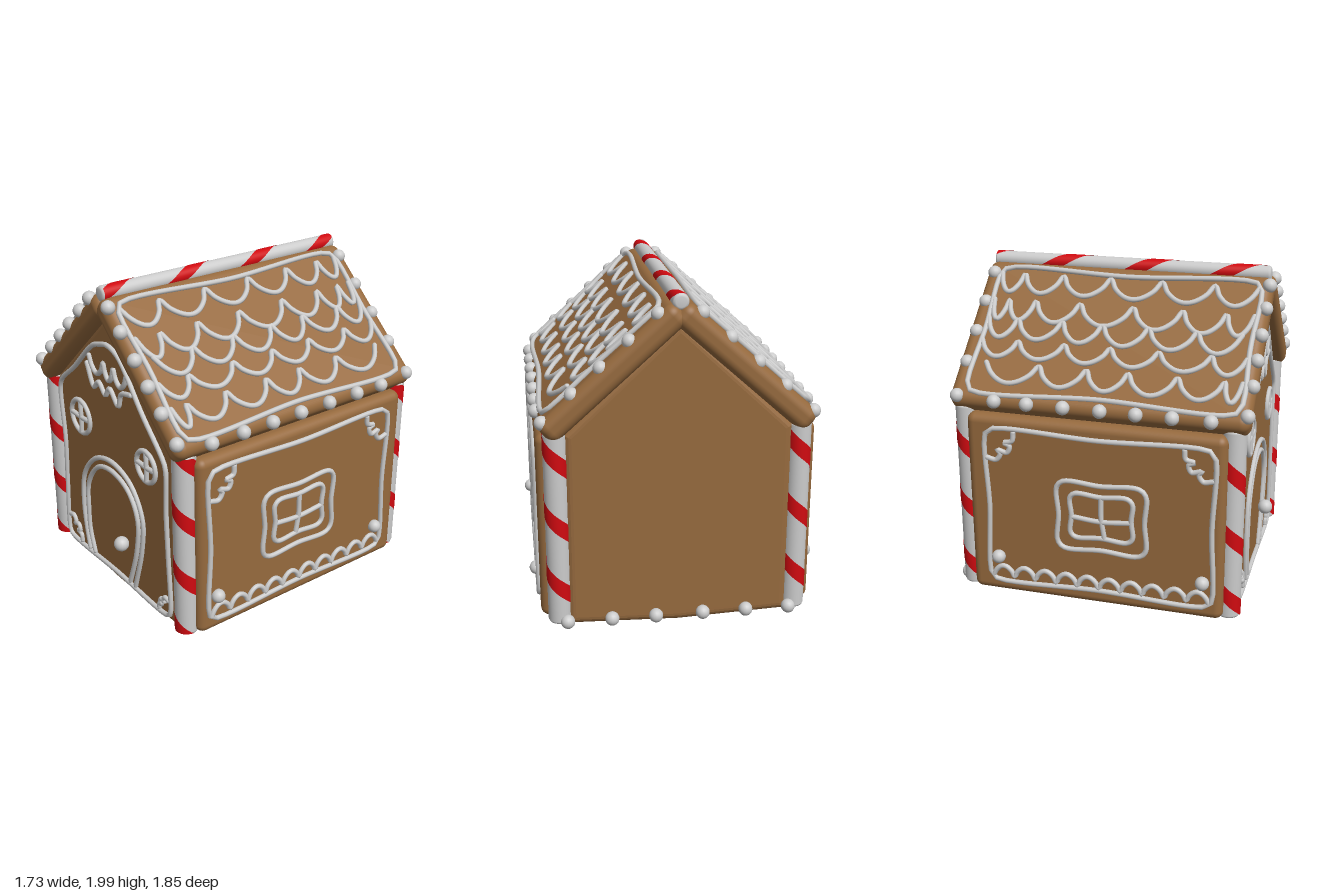
import * as THREE from 'three';
import { RoundedBoxGeometry } from 'three/addons/geometries/RoundedBoxGeometry.js';

const mat = (color, side = THREE.FrontSide) => new THREE.MeshStandardMaterial({ color, side });
const ginger = mat(0x966a3e), white = mat(0xcccccc), red = mat(0xd00a10, THREE.DoubleSide);

const ICING = 0.016;
const beadGeo = new THREE.SphereGeometry(0.042, 16, 12);
const endGeo = new THREE.SphereGeometry(ICING, 8, 6);

function add(parent, name, geo, material, x = 0, y = 0, z = 0) {
  const m = new THREE.Mesh(geo, material);
  m.name = name;
  m.position.set(x, y, z);
  parent.add(m);
  return m;
}

// Piped line of icing: 2D points placed on a surface by map(a, b) -> Vector3
function pipe(parent, name, pts, map, closed = false) {
  const v = pts.map(([a, b]) => map(a, b));
  const curve = new THREE.CatmullRomCurve3(v, closed, 'centripetal');
  const segs = Math.min(220, Math.max(10, pts.length * 6));
  add(parent, name, new THREE.TubeGeometry(curve, segs, ICING, 8, closed), white);
  if (!closed) for (const p of [v[0], v[v.length - 1]]) add(parent, name + 'End', endGeo, white, p.x, p.y, p.z);
}

// Rounded, slightly hand-drawn rectangle
function rect(a0, a1, b0, b1, r = 0.03) {
  const am = (a0 + a1) / 2, bm = (b0 + b1) / 2, w = 0.008;
  return [[a0 + r, b0], [am, b0 + w], [a1 - r, b0], [a1, b0 + r], [a1 - w, bm], [a1, b1 - r],
    [a1 - r, b1], [am, b1 - w], [a0 + r, b1], [a0, b1 - r], [a0 + w, bm], [a0, b0 + r]];
}

// Row of arcs between cusps; positive height hangs down
function scallops(cusps, base, height) {
  const pts = [[cusps[0], base]];
  for (let i = 1; i < cusps.length; i++) for (let k = 1; k <= 8; k++) {
    const t = k / 8, drop = k === 8 ? 0 : Math.pow(Math.sin(Math.PI * t), 0.75);
    pts.push([cusps[i - 1] + (cusps[i] - cusps[i - 1]) * t, base - height * drop]);
  }
  return pts;
}

// Lobed curl for a corner; (sa, sb) points into the panel
const curl = (a, b, sa, sb, s) => [[0, 1], [0.35, 1.05], [0.5, 0.8], [0.4, 0.68], [0.75, 0.75], [0.85, 0.5],
  [0.65, 0.4], [0.95, 0.3], [1, 0]].map(([p, q]) => [a + sa * p * s, b + sb * q * s]);

// Striped cane along y with a helical band
function cane(parent, name, r, y0, y1, pitch, phase, band) {
  const g = new THREE.Group();
  g.name = name;
  parent.add(g);
  const b = 0.018;
  const profile = [[0, y0], [r - b, y0], [r - b * 0.3, y0 + b * 0.3], [r, y0 + b], [r, y1 - b],
    [r - b * 0.3, y1 - b * 0.3], [r - b, y1], [0, y1]].map(p => new THREE.Vector2(...p));
  add(g, name + 'Stick', new THREE.LatheGeometry(profile, 32), white);
  const pos = [], idx = [], N = 28, R = r + 0.002;
  const lo = y0 + b * 0.6, hi = y1 - b * 0.6;
  const from = Math.floor((phase - y1 - band) / pitch) * N, to = Math.ceil((phase - y0 + band) / pitch) * N;
  for (let i = from; i <= to; i++) {
    const phi = i / N * Math.PI * 2, c = phase - pitch * i / N;
    for (const e of [-band / 2, band / 2])
      pos.push(R * Math.sin(phi), THREE.MathUtils.clamp(c + e, lo, hi), R * Math.cos(phi));
    const k = (i - from) * 2;
    const visible = c - pitch / N - band / 2 < hi && c + band / 2 > lo;
    if (i < to && visible) idx.push(k, k + 2, k + 1, k + 1, k + 2, k + 3);
  }
  const geo = new THREE.BufferGeometry();
  geo.setAttribute('position', new THREE.Float32BufferAttribute(pos, 3));
  geo.setIndex(idx);
  geo.computeVertexNormals();
  add(g, name + 'Stripe', geo, red);
  return g;
}

// Front and back gable walls
function gableWall(parent, name, zMin, zMax) {
  const b = 0.05, w = 0.66 - b;
  const s = new THREE.Shape([[-w, b + 0.03], [0, b + 0.008], [w, b + 0.03], [w, 1.2], [0, 1.78], [-w, 1.2]]
    .map(p => new THREE.Vector2(...p)));
  const geo = new THREE.ExtrudeGeometry(s, { depth: zMax - zMin - 2 * b, bevelSize: b, bevelThickness: b, bevelSegments: 5 });
  add(parent, name, geo, ginger, 0, 0, zMin + b);
}

function frontIcing(parent) {
  const g = new THREE.Group();
  g.name = 'frontIcing';
  parent.add(g);
  const on = (x, y) => new THREE.Vector3(x, y, 0.838);
  pipe(g, 'frontBorder', [[-0.58, 0.09], [-0.6, 0.12], [-0.59, 0.5], [-0.575, 0.8], [-0.595, 1.17], [-0.57, 1.23], [-0.4, 1.37],
    [-0.16, 1.59], [-0.08, 1.62], [0, 1.64], [0.09, 1.62], [0.15, 1.58], [0.35, 1.34], [0.55, 1.13], [0.575, 1.08],
    [0.57, 0.8], [0.58, 0.5], [0.59, 0.12], [0.57, 0.085], [0, 0.085]], on, true);
  pipe(g, 'doorFrame', [[-0.34, 0.1], [-0.37, 0.25], [-0.385, 0.44], [-0.35, 0.65], [-0.2, 0.82], [0, 0.875],
    [0.2, 0.81], [0.315, 0.63], [0.3, 0.41], [0.21, 0.1]], on);
  pipe(g, 'doorOutline', [[-0.275, 0.1], [-0.32, 0.25], [-0.325, 0.4], [-0.305, 0.6], [-0.175, 0.77], [0, 0.81],
    [0.17, 0.75], [0.26, 0.6], [0.24, 0.37], [0.15, 0.1]], on);
  for (const [x, y, r] of [[-0.355, 1.05, 0.11], [0.375, 1.01, 0.097]]) {
    const ring = Array.from({ length: 12 }, (_, i) => [x + r * Math.cos(i * Math.PI / 6), y + r * Math.sin(i * Math.PI / 6)]);
    pipe(g, 'roundWindow', ring, on, true);
    pipe(g, 'windowBar', [[x - r, y], [x, y - 0.004], [x + r, y]], on);
    pipe(g, 'windowBar', [[x, y - r], [x + 0.004, y], [x, y + r]], on);
  }
  pipe(g, 'gableScallops', scallops([-0.21, -0.05, 0.06, 0.2], 1.51, 0.09), on);
  pipe(g, 'gableZigzag', [[-0.24, 1.45], [-0.17, 1.32], [-0.11, 1.37], [-0.04, 1.31], [0.01, 1.37], [0.1, 1.29],
    [0.14, 1.38], [0.24, 1.41]], on);
  pipe(g, 'cornerCurl', curl(-0.58, 0.1, 1, 1, 0.14), on);
  pipe(g, 'cornerCurl', curl(0.57, 0.09, -1, 1, 0.1), on);
  add(g, 'doorKnob', beadGeo, white, 0.13, 0.38, 0.88).scale.setScalar(1.12);
}

// Side wall with its window, borders and beads; s = 1 left, -1 right
function sideWall(parent, s) {
  const g = new THREE.Group();
  g.name = s > 0 ? 'leftWall' : 'rightWall';
  parent.add(g);
  add(g, 'sidePanel', new RoundedBoxGeometry(0.14, 1.15, 1.56, 5, 0.05), ginger, s * 0.74, 0.625, 0);
  const on = (z, y) => new THREE.Vector3(s * 0.815, y, z);
  pipe(g, 'sideBorder', rect(-0.655, 0.715, 0.14, 1.12), on, true);
  pipe(g, 'windowFrame', rect(-0.22, 0.32, 0.41, 0.84, 0.04), on, true);
  pipe(g, 'windowOutline', rect(-0.14, 0.24, 0.49, 0.77, 0.03), on, true);
  pipe(g, 'windowBar', [[0.07, 0.5], [0.05, 0.63], [0.05, 0.76]], on);
  pipe(g, 'windowBar', [[-0.13, 0.62], [0.05, 0.605], [0.23, 0.62]], on);
  const cusps = Array.from({ length: 11 }, (_, i) => 0.7 - i * 0.134);
  pipe(g, 'sideScallops', scallops(cusps, 0.165, -0.065), on);
  pipe(g, 'cornerCurl', curl(0.71, 1.11, -1, -1, 0.17), on);
  pipe(g, 'cornerCurl', curl(-0.65, 1.11, 1, -1, 0.17), on);
  for (const z of [0.66, -0.6]) add(g, 'sideBead', beadGeo, white, s * 0.825, 0.295, z);
}

// Roof half with piped tiles and edge beads
function roofHalf(parent, s) {
  const g = new THREE.Group();
  g.name = s > 0 ? 'leftRoof' : 'rightRoof';
  parent.add(g);
  const slab = add(g, 'roofSlab', new RoundedBoxGeometry(1.03, 0.15, 1.79, 6, 0.06), ginger, s * 0.375, 1.563, 0);
  slab.rotation.z = -s * Math.atan(0.896);
  const on = (z, y) => new THREE.Vector3(s * (2.012 - y) / 0.896, y, z);
  pipe(g, 'roofBorder', rect(-0.79, 0.835, 1.33, 1.915), on, true);
  const rows = [
    [1.89, 0.09, [0.82, 0.56, 0.24, -0.08, -0.38, -0.63, -0.78]],
    [1.76, 0.095, [0.82, 0.66, 0.4, 0.1, -0.23, -0.51, -0.68, -0.78]],
    [1.67, 0.09, [0.77, 0.51, 0.22, -0.06, -0.31, -0.59, -0.78]],
    [1.565, 0.075, [0.82, 0.62, 0.31, 0.02, -0.26, -0.55, -0.78]],
    [1.46, 0.085, [0.82, 0.72, 0.45, 0.16, -0.09, -0.38, -0.71]],
  ];
  for (const [y, h, cusps] of rows) pipe(g, 'roofTileRow', scallops(cusps, y, h), on);
  const rake = (xs, z) => xs.forEach(x => add(g, 'gableBead', beadGeo, white, s * x, 1.995 - 0.91 * x, z));
  rake([0.1, 0.22, 0.355, 0.48, 0.605, 0.745], 0.875);
  rake([0.12, 0.28, 0.44, 0.6, 0.77], -0.84);
  for (const z of [0.68, 0.46, 0.25, 0.04, -0.18, -0.4, -0.6]) add(g, 'eaveBead', beadGeo, white, s * 0.795, 1.285, z);
}

export function createModel() {
  const house = new THREE.Group();
  house.name = 'gingerbreadHouse';
  gableWall(house, 'frontWall', 0.65, 0.83);
  gableWall(house, 'backWall', -0.86, -0.68);
  frontIcing(house);
  for (const s of [1, -1]) {
    sideWall(house, s);
    roofHalf(house, s);
    // Corner canes
    for (const z of [0.8, -0.81])
      cane(house, 'cornerCane', 0.07, 0.05, 1.23, 0.39, 0.49, 0.11).position.set(s * 0.7, 0, z);
    // Beads along the foot of the back wall
    for (const x of [0.14, 0.4, 0.66]) add(house, 'backBead', beadGeo, white, s * x, 0.07, -0.88);
  }
  // Ridge cane
  const ridge = cane(house, 'ridgeCane', 0.047, -0.87, 0.87, 0.53, 0.47, 0.14);
  ridge.rotation.x = Math.PI / 2;
  ridge.position.y = 1.953;
  return house;
}
